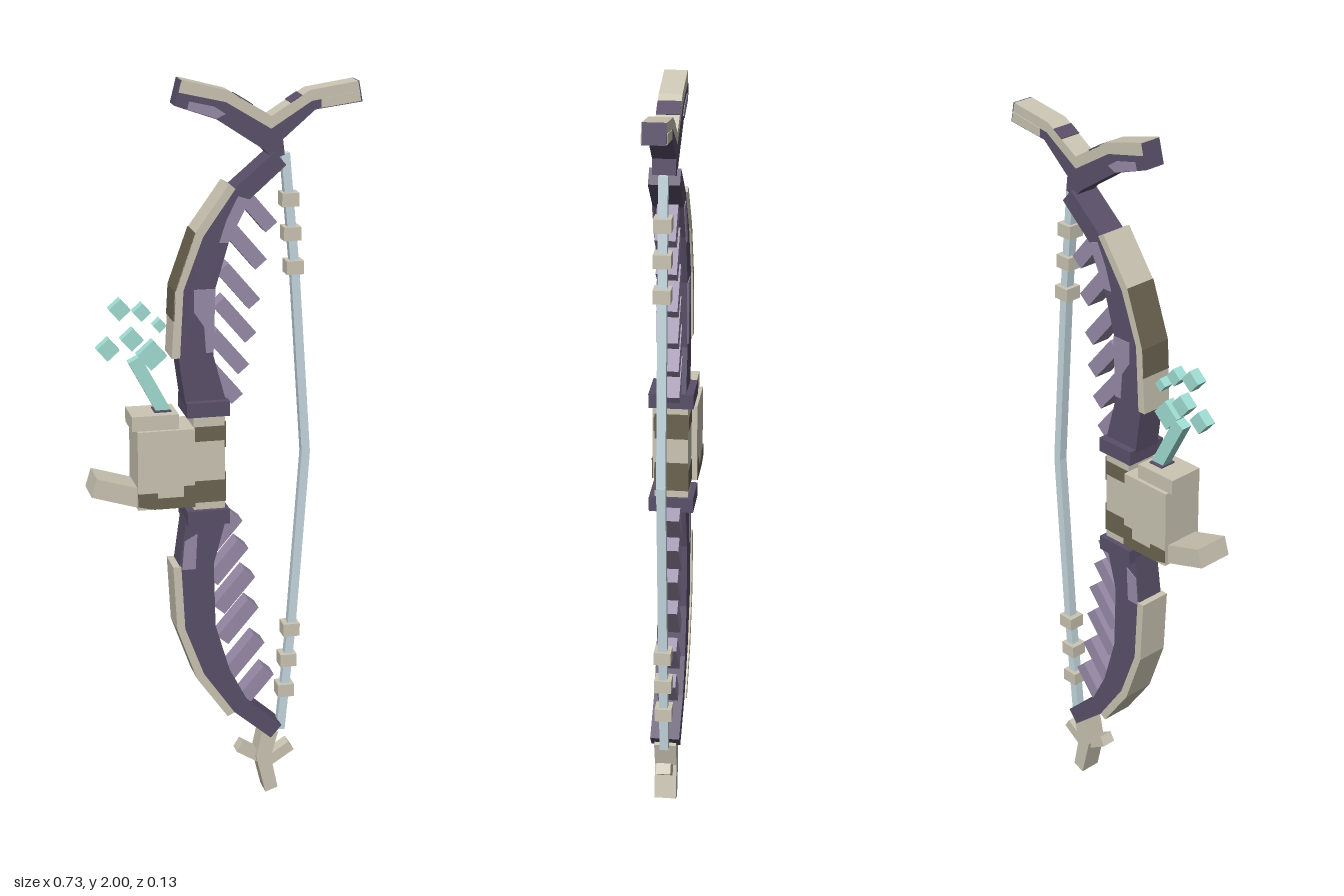
import * as THREE from 'three';

const mat = (name, color) => {
  const m = new THREE.MeshStandardMaterial({ color });
  m.name = name;
  return m;
};

export function createModel() {
  const bone = mat('pale bone', 0xcbc5b3);
  const darkBone = mat('dark bone', 0x6c6451);
  const purple = mat('dark purple', 0x5a5069);
  const lilac = mat('light purple', 0x988ba8);
  const teal = mat('teal crystal', 0xa1dfd5);
  const cord = mat('pale cord', 0xc5d9e0);

  const model = new THREE.Group();
  model.name = 'bow';

  const add = (name, geometry, material, parent = model) => {
    const mesh = new THREE.Mesh(geometry, material);
    mesh.name = name;
    parent.add(mesh);
    return mesh;
  };
  // Outline in the xy plane, extruded from z0 to z1
  const slab = (name, pts, z0, z1, material, parent) => {
    const shape = new THREE.Shape(pts.map(([x, y]) => new THREE.Vector2(x, y)));
    const g = new THREE.ExtrudeGeometry(shape, { depth: z1 - z0, bevelEnabled: false });
    return add(name, g.translate(0, 0, z0), material, parent);
  };
  // Thin painted plate on both flanks of a part of half depth z
  const paint = (name, pts, z, material) => {
    slab(name, pts, z - 0.001, z + 0.002, material);
    slab(name, pts, -z - 0.002, -z + 0.001, material);
  };
  const box = (name, x0, x1, y0, y1, z, material, parent) => {
    const g = new THREE.BoxGeometry(x1 - x0, y1 - y0, z * 2);
    return add(name, g.translate((x0 + x1) / 2, (y0 + y1) / 2, 0), material, parent);
  };
  // Square bar running from a to b
  const bar = (name, a, b, width, z, material, parent) => {
    const dx = b[0] - a[0], dy = b[1] - a[1];
    const mesh = add(name, new THREE.BoxGeometry(Math.hypot(dx, dy), width, z * 2), material, parent);
    mesh.position.set((a[0] + b[0]) / 2, (a[1] + b[1]) / 2, 0);
    mesh.rotation.z = Math.atan2(dy, dx);
    return mesh;
  };

  // Limbs, ribs, collars and string, mirrored about the middle of the grip
  const limbOutline = [
    [-0.11, 1.15], [-0.128, 1.28], [-0.117, 1.46], [-0.067, 1.6], [0.015, 1.715], [0.08, 1.77],
    [0.127, 1.81], [0.157, 1.775], [0.06, 1.69], [0.01, 1.595], [-0.03, 1.46], [-0.035, 1.28], [0, 1.15],
  ];
  const backing = [
    [-0.147, 1.28], [-0.137, 1.46], [-0.083, 1.61], [0.003, 1.73], [0.022, 1.72],
    [-0.063, 1.598], [-0.115, 1.46], [-0.125, 1.28],
  ];
  const ribTips = [[0.032, 1.155], [0.049, 1.235], [0.068, 1.32], [0.078, 1.41], [0.095, 1.515], [0.122, 1.612]];
  for (const top of [true, false]) {
    const half = new THREE.Group();
    half.name = top ? 'upperHalf' : 'lowerHalf';
    model.add(half);
    const flip = ([x, y]) => [x, top ? y : 1.98 - y];

    slab('limb', limbOutline.map(flip), -0.04, 0.04, purple, half);
    slab('limbBacking', backing.map(flip), -0.045, 0.045, bone, half);
    const collarY = flip([0, 1.14])[1];
    box('collar', -0.11, 0.005, collarY - 0.02, collarY + 0.02, 0.06, purple, half);
    for (const [x, y] of ribTips) {
      bar('rib', flip([x - 0.085, y + 0.1]), flip([x, y]), 0.04, 0.027, lilac, half);
    }

    const stringPath = [[0.162, 1.8], [0.19, 1.5], [0.225, 0.99]].map(flip);
    bar('string', stringPath[0], stringPath[1], 0.023, 0.012, cord, half);
    bar('string', stringPath[1], stringPath[2], 0.023, 0.012, cord, half);
    for (const [x, y] of [[0.174, 1.68], [0.18, 1.59], [0.188, 1.5]].map(flip)) {
      box('stringBead', x - 0.023, x + 0.023, y - 0.018, y + 0.018, 0.023, bone, half);
    }
  }

  // Lighter patches on the limbs
  paint('limbPatch', [[-0.087, 1.46], [-0.03, 1.46], [-0.035, 1.29], [-0.055, 1.29], [-0.06, 1.36], [-0.087, 1.4]],
    0.04, lilac);
  paint('limbPatch', [[-0.02, 1.58], [0.005, 1.58], [0.06, 1.69], [0.03, 1.7], [0, 1.64]], 0.04, lilac);
  paint('limbPatch', [[-0.115, 0.77], [-0.08, 0.79], [-0.085, 0.69], [-0.122, 0.69]], 0.04, lilac);

  // Dark stain along the outside of the upper backing
  bar('backingStain', [-0.137, 1.46], [-0.083, 1.61], 0.004, 0.045, darkBone);
  bar('backingStain', [-0.1415, 1.38], [-0.137, 1.46], 0.004, 0.045, darkBone);

  // Antler fork at the top: dark body with a pale upper layer
  slab('forkBody', [
    [-0.13, 1.934], [-0.024, 1.897], [0.1, 1.815], [0.125, 1.79], [0.155, 1.8], [0.15, 1.84], [0.235, 1.913],
    [0.357, 1.929], [0.352, 1.955], [0.225, 1.935], [0.119, 1.868], [0, 1.94], [-0.122, 1.968],
  ], -0.03, 0.03, purple);
  slab('forkTop', [
    [-0.122, 1.968], [0, 1.94], [0.119, 1.868], [0.225, 1.935], [0.352, 1.955],
    [0.347, 1.982], [0.22, 1.963], [0.119, 1.9], [0.008, 1.968], [-0.114, 2],
  ], -0.03, 0.03, bone);
  paint('forkPatch', [[-0.1, 1.925], [-0.024, 1.899], [0, 1.91], [-0.03, 1.93], [-0.095, 1.945]], 0.03, lilac);
  paint('forkPatch', [[0.25, 1.917], [0.355, 1.931], [0.351, 1.957], [0.25, 1.94]], 0.03, bone);
  // Dark bands on its upper side and dark tips
  bar('forkBand', [0.03, 1.9545], [0.07, 1.93], 0.004, 0.03, purple);
  bar('forkBand', [0.17, 1.932], [0.2, 1.9505], 0.004, 0.03, purple);
  bar('forkTip', [0.357, 1.929], [0.347, 1.982], 0.005, 0.03, purple);
  bar('forkTip', [-0.13, 1.934], [-0.114, 1.998], 0.005, 0.03, purple);

  // Twig at the bottom
  slab('twigStem', [[0.105, 0.19], [0.15, 0.18], [0.13, 0.108], [0.15, 0.012], [0.115, 0], [0.088, 0.11]],
    -0.03, 0.03, bone);
  bar('twigBranch', [0.12, 0.085], [0.19, 0.13], 0.03, 0.02, bone);
  bar('twigBranch', [0.115, 0.095], [0.042, 0.14], 0.03, 0.02, bone);

  // Grip with darker bands, wider on its string side
  box('grip', -0.09, -0.005, 0.86, 1.12, 0.045, bone);
  box('gripBand', -0.088, -0.004, 1.05, 1.09, 0.047, darkBone);
  box('gripBand', -0.088, -0.004, 0.88, 0.94, 0.047, darkBone);
  box('gripStain', -0.006, -0.002, 1.03, 1.1, 0.045, darkBone);
  box('gripStain', -0.006, -0.002, 0.88, 0.96, 0.045, darkBone);

  // Block, cap and spur beside the grip
  box('block', -0.243, -0.09, 0.875, 1.09, 0.061, bone);
  paint('blockStain', [[-0.243, 0.885], [-0.2, 0.875], [-0.09, 0.875], [-0.09, 0.935], [-0.12, 0.935],
    [-0.12, 0.905], [-0.19, 0.905], [-0.19, 0.92], [-0.243, 0.92]], 0.061, darkBone);
  box('cap', -0.255, -0.13, 1.09, 1.13, 0.05, bone);
  box('crystalSocket', -0.19, -0.145, 1.129, 1.134, 0.024, purple);
  bar('spur', [-0.358, 0.942], [-0.22, 0.9], 0.052, 0.05, bone);

  // Crystal rod and floating shards
  bar('crystalRod', [-0.16, 1.125], [-0.24, 1.275], 0.036, 0.015, teal);
  const shards = [
    [-0.277, 1.41, 0.041], [-0.219, 1.4, 0.034], [-0.172, 1.362, 0.026],
    [-0.309, 1.305, 0.043], [-0.245, 1.328, 0.043], [-0.193, 1.283, 0.057],
  ];
  for (const [x, y, s] of shards) {
    const shard = add('crystalShard', new THREE.BoxGeometry(s, s, 0.03), teal);
    shard.position.set(x, y, 0);
    shard.rotation.z = 0.72;
  }
  return model;
}
